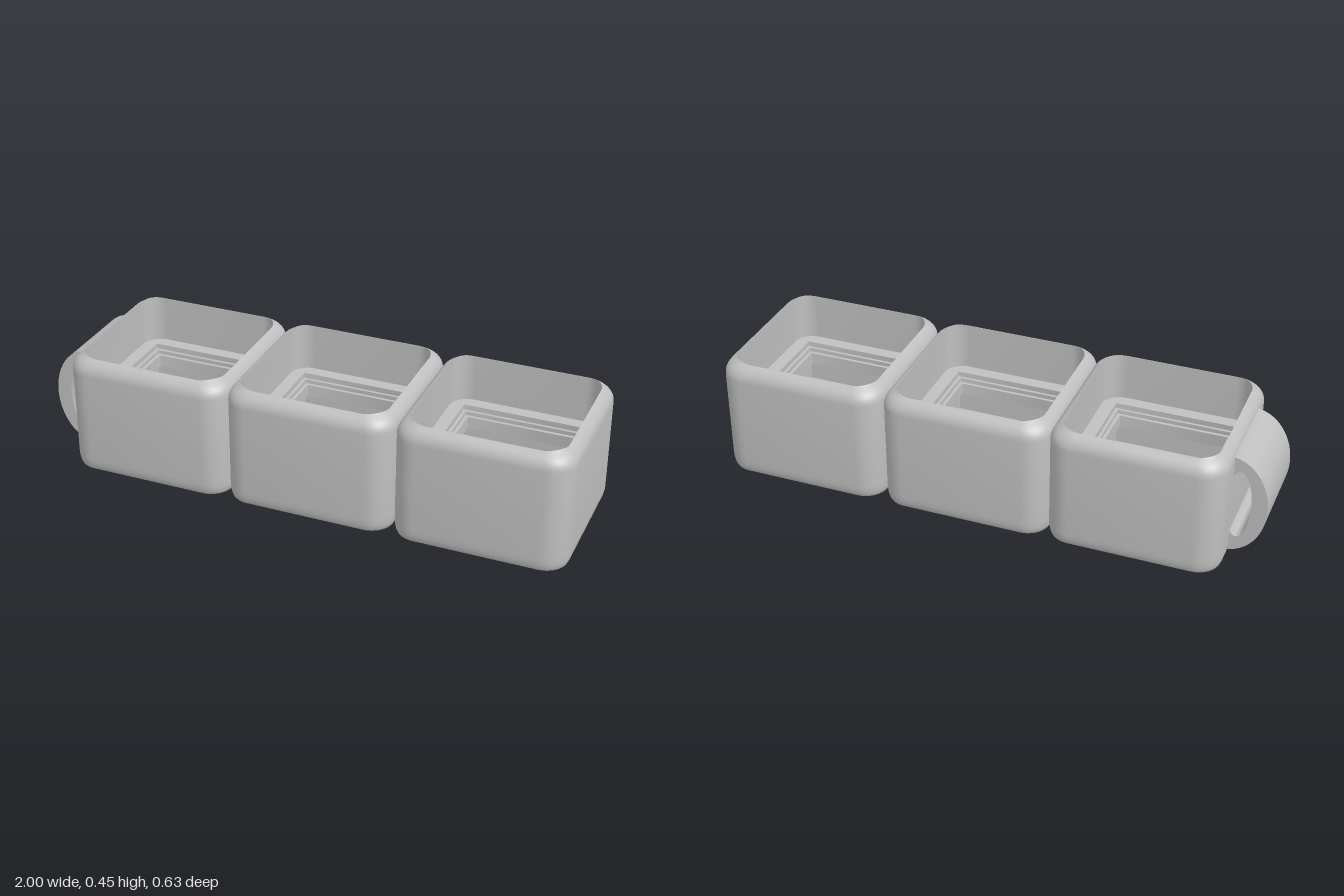
import * as THREE from 'three';
import { toCreasedNormals } from 'three/addons/utils/BufferGeometryUtils.js';

const CORNER = 8; // segments in each rounded corner

// Rounded square ring [half size, corner radius, height, extra height at the corners]
function ring([half, r, y, bulge = 0]) {
  const pts = [];
  for (let q = 0; q < 4; q++) {
    const mid = (q + 0.5) * Math.PI / 2;
    const cx = Math.sign(Math.cos(mid)) * (half - r);
    const cz = Math.sign(Math.sin(mid)) * (half - r);
    for (let k = 0; k <= CORNER; k++) {
      const a = (q + k / CORNER) * Math.PI / 2;
      pts.push([cx + r * Math.cos(a), y + bulge * Math.sin(Math.PI * k / CORNER), cz + r * Math.sin(a)]);
    }
  }
  return pts;
}

// Skin over a list of rings
function loft(profile) {
  const rings = profile.map(ring);
  const n = rings[0].length, pos = [];
  for (let i = 0; i < rings.length - 1; i++) {
    for (let j = 0; j < n; j++) {
      const k = (j + 1) % n;
      const a = rings[i][j], b = rings[i + 1][j], c = rings[i][k], d = rings[i + 1][k];
      pos.push(...a, ...b, ...c, ...b, ...d, ...c);
    }
  }
  const g = new THREE.BufferGeometry();
  g.setAttribute('position', new THREE.Float32BufferAttribute(pos, 3));
  return toCreasedNormals(g, 0.6);
}

const HALF = 0.313, RAD = 0.09, FLOOR = 0.11, HOLE = 0.058;
const PINS = [[-0.147, 0], [0.147, 0], [-0.11, -0.074], [0.073, -0.147]];

// Outer shell, rim, cavity and stepped socket in one continuous profile
function shellGeometry() {
  const p = [[HOLE, HOLE, FLOOR], [HOLE, HOLE, 0], [HALF - 0.015, RAD - 0.015, 0]];
  for (let i = 1; i <= 4; i++) { // bottom edge
    const a = (i / 4) * Math.PI / 2;
    const inset = 0.015 * (1 - Math.sin(a));
    p.push([HALF - inset, RAD - inset, 0.05 * (1 - Math.cos(a))]);
  }
  for (let i = 0; i <= 7; i++) { // rounded rim, cut off by the cavity wall
    const a = (i / 7) * 1.23;
    const inset = 0.06 * (1 - Math.cos(a));
    p.push([HALF - inset, RAD - inset / 2, 0.389 + 0.06 * Math.sin(a), i === 7 ? 0.004 : 0]);
  }
  p.push(
    [0.273, 0.07, 0.27], // cavity wall
    [0.225, 0.002, 0.27], // cavity floor
    [0.225, 0.002, 0.25],
    [0.214, 0.002, 0.25], // first step
    [0.214, 0.002, 0.235],
    [0.202, 0.002, 0.235], // second step
    [0.202, 0.002, 0.19],
    [0.222, 0.002, 0.19], // undercut
    [0.222, 0.002, FLOOR]
  );
  return loft(p);
}

// Socket floor with a centre hole and four small pin holes
function floorGeometry() {
  const s = new THREE.Shape();
  s.moveTo(-0.222, -0.222).lineTo(0.222, -0.222).lineTo(0.222, 0.222).lineTo(-0.222, 0.222).closePath();
  for (const [x, z, r] of [[0, 0, HOLE], ...PINS.map(([x, z]) => [x, z, 0.024])]) {
    s.holes.push(new THREE.Path().absarc(x, -z, r, 0, Math.PI * 2, true));
  }
  return new THREE.ShapeGeometry(s, 16).rotateX(-Math.PI / 2).translate(0, FLOOR, 0);
}

// Curved strap loop on the end
function loopGeometry() {
  const s = new THREE.Shape();
  s.moveTo(-0.85, 0.405);
  s.absellipse(-0.86, 0.215, 0.14, 0.19, Math.PI / 2, Math.PI * 1.5, false);
  s.lineTo(-0.85, 0.025);
  s.closePath();
  s.holes.push(new THREE.Path().absellipse(-0.898, 0.218, 0.045, 0.132, 0, Math.PI * 2, true));
  const g = new THREE.ExtrudeGeometry(s, { depth: 0.326, bevelEnabled: false, curveSegments: 32 });
  return toCreasedNormals(g.translate(0, 0, -0.163), 0.6);
}

export function createModel() {
  const model = new THREE.Group();
  model.name = 'socketStrip';
  const grey = new THREE.MeshStandardMaterial({ color: 0xbfbfbf });
  grey.name = 'grey';

  const add = (parent, name, geometry) => {
    const mesh = new THREE.Mesh(geometry, grey);
    mesh.name = name;
    parent.add(mesh);
    return mesh;
  };

  const shell = shellGeometry();
  const floor = floorGeometry();
  const pin = loft([[0.024, 0.024, FLOOR], [0.024, 0.024, 0.03], [0, 0, 0.03]]);

  // Three identical boxes in a row
  [-0.562, 0.058, 0.686].forEach((x, i) => {
    const box = new THREE.Group();
    box.name = `box${i + 1}`;
    box.position.x = x;
    add(box, 'shell', shell);
    add(box, 'socketFloor', floor);
    PINS.forEach(([px, pz]) => add(box, 'pinHole', pin).position.set(px, 0, pz));
    model.add(box);
  });

  add(model, 'strapLoop', loopGeometry());
  return model;
}
